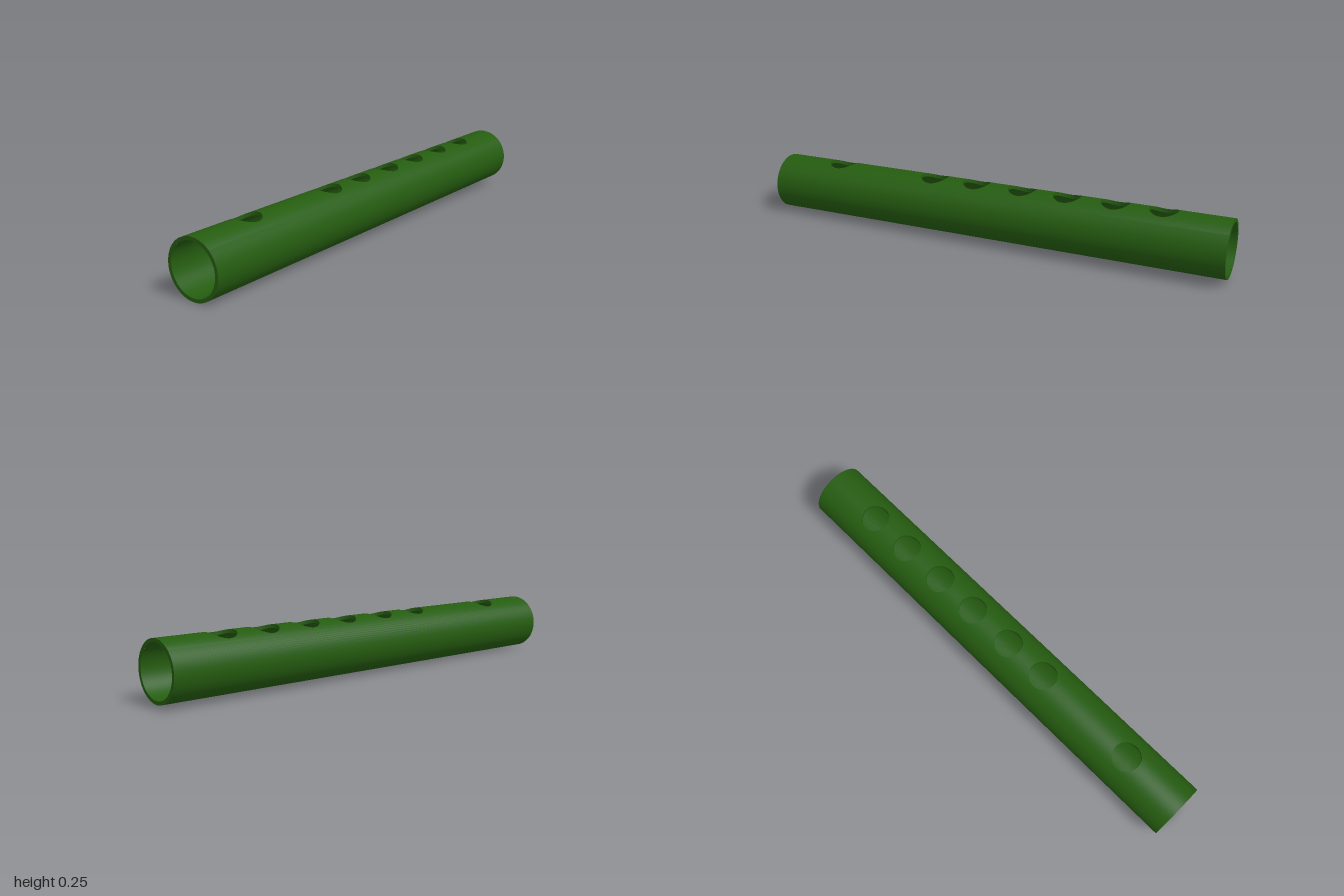
import * as THREE from 'three';
import { ParametricGeometry } from 'three/addons/geometries/ParametricGeometry.js';
import { mergeGeometries } from 'three/addons/utils/BufferGeometryUtils.js';

const OUTER = 0.118, INNER = 0.104, HALF = 0.999; // tube radii and half length
const STRIP = 0.08;                               // half width of the drilled top strip
const HOLE_R = 0.058;
const HOLES = [[-0.008, -0.73], [-0.008, -0.535], [-0.005, -0.335], [-0.005, -0.14],
  [-0.004, 0.065], [-0.002, 0.26], [-0.008, 0.72]]; // x, z of each finger hole

const lerp = THREE.MathUtils.lerp;
const surface = (f, nu, nv) => new ParametricGeometry((u, v, p) => p.set(...f(u, v)), nu, nv);
const topY = (x, r) => Math.sqrt(r * r - x * x);

// Point of the undrilled arc, running from the strip's right edge round the bottom to its left edge
function arcXY(u, r) {
  const start = Math.asin(STRIP / r);
  const a = lerp(start, Math.PI * 2 - start, u);
  return [r * Math.sin(a), r * Math.cos(a)];
}

// Point between a hole's rim (t = 0) and the edge of its rectangular cell (t = 1)
function cellXZ(u, t, [cx, cz], z0, z1) {
  const c = Math.cos(u * Math.PI * 2), s = Math.sin(u * Math.PI * 2);
  const m = Math.max(Math.abs(c), Math.abs(s));
  const edgeX = STRIP * c / m;
  const edgeZ = cz + (s / m) * (s > 0 ? z1 - cz : cz - z0);
  return [lerp(cx + HOLE_R * c, edgeX, t), lerp(cz + HOLE_R * s, edgeZ, t)];
}

export function createModel() {
  const green = new THREE.MeshStandardMaterial({ color: 0x255c10 });
  green.name = 'darkGreen';
  const outer = [], inner = [], rims = [], caps = [];

  // Lower part of the wall
  outer.push(surface((u, v) => [...arcXY(u, OUTER), lerp(HALF, -HALF, v)], 64, 1));
  inner.push(surface((u, v) => [...arcXY(u, INNER), lerp(-HALF, HALF, v)], 64, 1));

  // Drilled top strip, one cell per finger hole
  HOLES.forEach((hole, i) => {
    const z0 = i ? (HOLES[i - 1][1] + hole[1]) / 2 : -HALF;
    const z1 = i < HOLES.length - 1 ? (HOLES[i + 1][1] + hole[1]) / 2 : HALF;
    const skin = (u, t, r) => {
      const [x, z] = cellXZ(u, t, hole, z0, z1);
      return [x, topY(x, r), z];
    };
    outer.push(surface((u, v) => skin(u, v, OUTER), 64, 8));
    inner.push(surface((u, v) => skin(1 - u, v, INNER), 64, 8));
    rims.push(surface((u, v) => {
      const [x, z] = cellXZ(u, 0, hole, z0, z1);
      return [x, lerp(topY(x, INNER), topY(x, OUTER), v), z];
    }, 64, 1));
  });

  // Flat rings closing the wall at both ends
  for (const side of [1, -1]) {
    const dir = (u) => (side > 0 ? u : 1 - u);
    caps.push(surface((u, v) => {
      const a = arcXY(dir(u), INNER), b = arcXY(dir(u), OUTER);
      return [lerp(a[0], b[0], v), lerp(a[1], b[1], v), side * HALF];
    }, 64, 1));
    caps.push(surface((u, v) => {
      const x = lerp(-STRIP, STRIP, dir(u));
      return [x, lerp(topY(x, INNER), topY(x, OUTER), v), side * HALF];
    }, 16, 1));
  }

  const flute = new THREE.Group();
  flute.name = 'tube';
  const parts = { outerWall: outer, bore: inner, fingerHoleRims: rims, endRings: caps };
  for (const [name, list] of Object.entries(parts)) {
    const mesh = new THREE.Mesh(mergeGeometries(list), green);
    mesh.name = name;
    flute.add(mesh);
  }

  // The tube leans very slightly down toward the front
  flute.rotation.x = 0.0073;
  flute.position.y = 0.1253;
  const model = new THREE.Group();
  model.name = 'flute';
  model.add(flute);
  return model;
}
